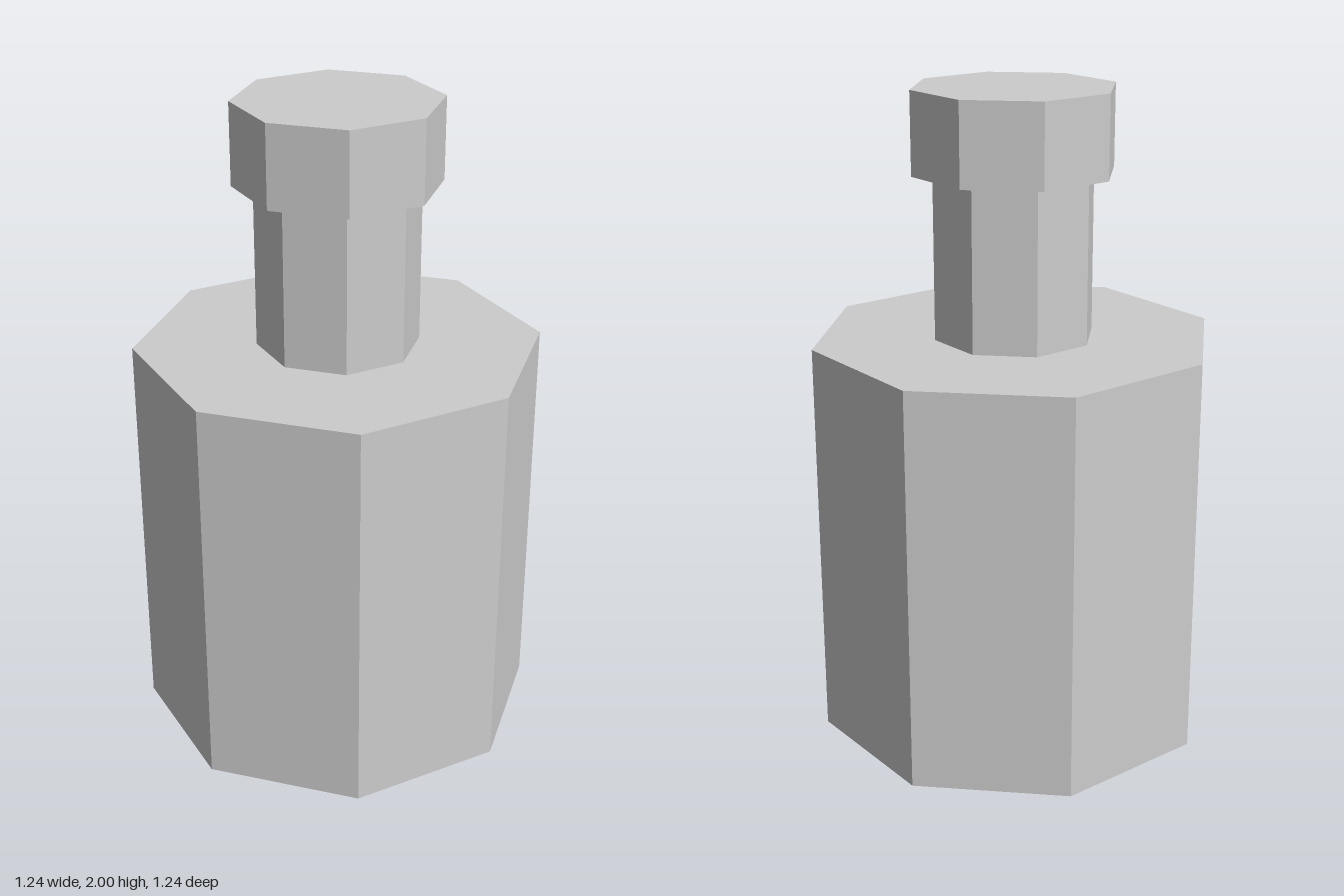
import * as THREE from 'three';

export function createModel() {
  const group = new THREE.Group();
  const grey = new THREE.MeshStandardMaterial({ color: 0xcccccc, flatShading: true });
  grey.name = 'light grey';

  // Octagonal prism standing between two heights
  const prism = (name, radius, bottom, top) => {
    const geometry = new THREE.CylinderGeometry(radius, radius, top - bottom, 8);
    geometry.translate(0, (bottom + top) / 2, 0);
    const mesh = new THREE.Mesh(geometry, grey);
    mesh.name = name;
    group.add(mesh);
  };

  prism('bottleBody', 0.622, 0, 1.25);
  prism('neck', 0.248, 1.25, 1.75);
  prism('cap', 0.311, 1.75, 2);

  return group;
}
